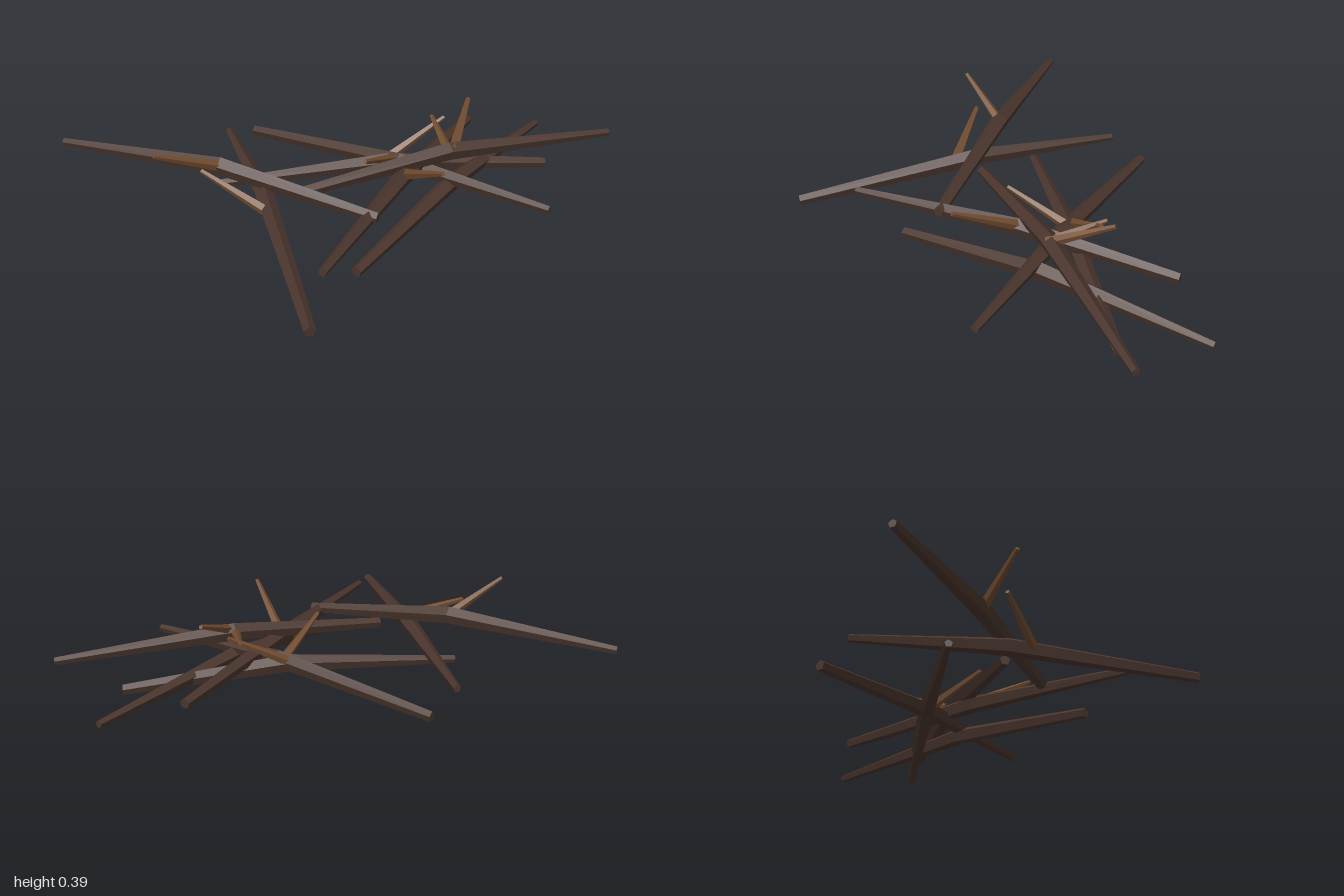
import * as THREE from 'three';

// Faceted rod whose rings follow three points with three radii
function rod(points, radii, sides) {
  const [a, , c] = points;
  const dir = c.clone().sub(a).normalize();
  const side = dir.clone().cross(new THREE.Vector3(0, 1, 0)).normalize();
  const up = side.clone().cross(dir);
  const geo = new THREE.CylinderGeometry(1, 1, 1, sides, 2);
  const pos = geo.attributes.position;
  for (let i = 0; i < pos.count; i++) {
    const ring = Math.round((pos.getY(i) + 0.5) * 2);
    const r = radii[ring];
    const p = points[ring].clone()
      .addScaledVector(side, pos.getX(i) * r)
      .addScaledVector(up, pos.getZ(i) * r);
    pos.setXYZ(i, p.x, p.y, p.z);
  }
  const flat = geo.toNonIndexed();
  flat.computeVertexNormals();
  return flat;
}

export function createModel() {
  const group = new THREE.Group();
  const bark = new THREE.MeshStandardMaterial({ color: 0x4a352d });
  bark.name = 'darkBark';
  const twigWood = new THREE.MeshStandardMaterial({ color: 0x724d30 });
  twigWood.name = 'twigBrown';
  const v = (p) => new THREE.Vector3(...p);

  // Bent branches: thick end, bend, thin end
  const branches = [
    [[-0.32, 0.18, 0.475], [-0.49, 0.262, -0.21], [-0.695, 0.222, -0.957]],
    [[-0.98, 0.105, 0.645], [-0.46, 0.182, 0.0], [-0.07, 0.145, -0.543]],
    [[0.10, 0.08, -0.535], [0.17, 0.143, 0.25], [0.23, 0.125, 0.957]],
    [[0.70, 0.052, 0.695], [0.16, 0.133, 0.2], [-0.4, 0.1, -0.31]],
    [[-0.37, 0.183, 0.1], [0.235, 0.238, 0.46], [0.89, 0.195, 0.905]],
    [[0.73, 0.13, 0.265], [0.02, 0.178, 0.37], [-0.745, 0.172, 0.52]],
    [[-0.5, 0.03, 0.5], [0.22, 0.105, 0.495], [1.0, 0.07, 0.492]],
  ];
  branches.forEach((b, i) => {
    const mesh = new THREE.Mesh(rod(b.map(v), [0.024, 0.041, 0.018], 5), bark);
    mesh.name = `branch${i + 1}`;
    group.add(mesh);
  });

  // Side twigs: base on a branch, tip in the air
  const twigs = [
    [[-0.49, 0.262, -0.205], [-0.76, 0.39, -0.317]],
    [[-0.54, 0.175, 0.07], [-0.617, 0.3, -0.2]],
    [[0.17, 0.15, 0.22], [-0.11, 0.27, 0.26]],
    [[0.02, 0.19, 0.38], [-0.11, 0.343, 0.64]],
    [[0.24, 0.245, 0.48], [0.5, 0.365, 0.39]],
    [[0.23, 0.235, 0.46], [0.39, 0.285, 0.27]],
    [[0.17, 0.145, 0.19], [0.4, 0.295, 0.33]],
  ];
  twigs.forEach((t, i) => {
    const [base, tip] = t.map(v);
    const mid = base.clone().lerp(tip, 0.5);
    const mesh = new THREE.Mesh(rod([base, mid, tip], [0.024, 0.017, 0.01], 5), twigWood);
    mesh.name = `twig${i + 1}`;
    group.add(mesh);
  });

  return group;
}
